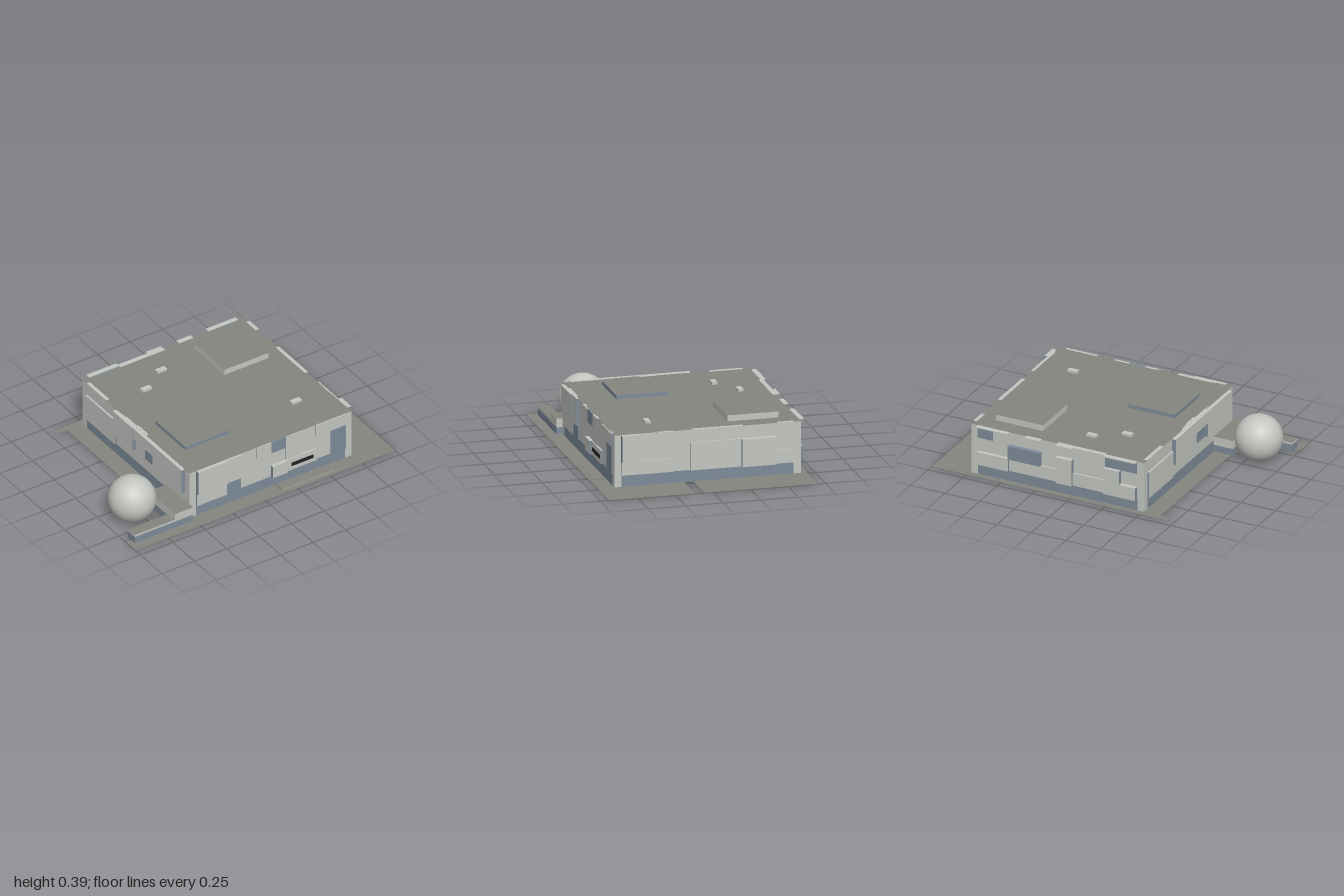
import * as THREE from 'three';

export function createModel() {
  const mat = (name, color, extra = {}) => {
    const m = new THREE.MeshStandardMaterial({ color, ...extra });
    m.name = name;
    return m;
  };
  const light = mat('pale concrete', 0xc4c6c1);
  const blue = mat('blue grey', 0x7d8b99);
  const grey = mat('roof grey', 0x85857f);
  const dark = mat('dark sign', 0x222222);

  const model = new THREE.Group();
  model.name = 'building';

  // Box from its limits; m may be an array in the order +x -x +y -y +z -z
  function box(parent, name, x0, x1, y0, y1, z0, z1, m) {
    const mesh = new THREE.Mesh(new THREE.BoxGeometry(x1 - x0, y1 - y0, z1 - z0), m);
    mesh.position.set((x0 + x1) / 2, (y0 + y1) / 2, (z0 + z1) / 2);
    mesh.name = name;
    parent.add(mesh);
    return mesh;
  }
  const topped = (side, top) => [side, side, top, side, side, side];

  const X0 = -0.51, X1 = 0.737, Z0 = -0.657, Z1 = 0.585, H = 0.35, BASE = 0.08, P = 0.048;

  // Each wall: a list of panels [from, to, bottom, top, depth, colour]
  const walls = [
    {
      name: 'frontWall', pos: [0, 0, Z1], turn: 0, sign: 1, from: X0, to: X1,
      panels: [
        [-0.46, -0.23, 0.17, H, 0.025, light], [-0.46, -0.23, BASE, 0.17, 0.012, light],
        [-0.23, -0.12, 0.17, H, 0.015, light], [-0.23, -0.12, BASE, 0.17, 0.006, blue],
        [0, 0.115, 0.265, H, 0.008, light], [0.115, 0.23, 0.265, H, 0.006, blue],
        [0.115, 0.23, BASE, 0.17, 0.025, light], [0.23, 0.34, 0.17, H, 0.006, light],
        [0.23, 0.46, BASE, 0.17, 0.012, light], [0.46, 0.69, 0.265, H, 0.008, light],
        [0.575, 0.69, BASE, 0.265, 0.006, blue],
      ],
    },
    {
      name: 'rightWall', pos: [X1, 0, 0], turn: Math.PI / 2, sign: -1, from: Z0, to: Z1,
      panels: [
        [0.195, 0.425, 0.265, H, 0.008, light], [0.425, 0.54, 0.17, H, 0.03, light],
        [0.195, 0.54, BASE, 0.17, 0.01, light], [-0.26, 0.08, BASE, 0.265, 0.012, light],
        [-0.49, -0.26, BASE, 0.265, 0.03, light], [-0.605, -0.49, BASE, 0.17, 0.01, light],
      ],
    },
    {
      name: 'backWall', pos: [0, 0, Z0], turn: Math.PI, sign: -1, from: X0, to: X1,
      panels: [
        [0.58, 0.69, 0.265, H, 0.006, blue], [0.46, 0.69, BASE, 0.17, 0.025, light],
        [0.23, 0.46, 0.17, 0.265, 0.03, blue], [0.12, 0.46, BASE, 0.17, 0.01, light],
        [0, 0.115, BASE, 0.265, 0.03, light], [-0.23, 0, BASE, 0.17, 0.012, light],
        [-0.345, -0.23, BASE, 0.265, 0.03, light], [-0.46, -0.23, 0.265, H, 0.006, blue],
        [-0.46, -0.345, BASE, 0.17, 0.03, light],
      ],
    },
    {
      name: 'leftWall', pos: [X0, 0, 0], turn: -Math.PI / 2, sign: 1, from: Z0, to: Z1,
      panels: [
        [-0.61, -0.265, BASE, 0.265, 0.012, light], [-0.265, -0.04, 0.17, H, 0.028, light],
        [-0.04, 0.19, 0.265, H, 0.026, light], [0.08, 0.19, 0.17, 0.265, 0.008, blue],
        [0.19, 0.53, 0.17, H, 0.026, light],
      ],
    },
  ];

  for (const w of walls) {
    const g = new THREE.Group();
    g.name = w.name;
    g.position.set(...w.pos);
    g.rotation.y = w.turn;
    model.add(g);
    const span = (a, b) => (w.sign > 0 ? [a, b] : [-b, -a]);
    const [a, b] = span(w.from + P, w.to - P);
    box(g, 'wallFace', a, b, BASE, H - 0.006, -0.01, 0, light);
    box(g, 'baseBand', a, b, 0, BASE, -0.01, 0, blue);
    for (const [p, q, y0, y1, d, m] of w.panels) {
      const [c, e] = span(p, q);
      // pale panels have blue grey edges
      const faces = m === light ? [blue, blue, light, blue, light, light] : m;
      box(g, 'wallPanel', c, e, y0, y1, -0.012, d, faces);
    }
  }

  // Corner posts
  for (const x of [X0, X1 - P]) {
    for (const z of [Z0, Z1 - P]) box(model, 'cornerPost', x, x + P, 0, H - 0.006, z, z + P, light);
  }

  // Roof, its raised slabs and vents
  box(model, 'roof', X0, X1, H - 0.006, H, Z0, Z1, topped(light, grey));
  box(model, 'roofSlab', -0.39, -0.05, H, 0.375, 0.01, 0.355, topped(blue, grey));
  box(model, 'roofSlab', 0.28, 0.62, H, 0.39, -0.54, -0.2, topped(light, grey));
  for (const [x, z] of [[-0.265, -0.36], [-0.07, -0.48], [0.46, 0.285]]) {
    box(model, 'roofVent', x, x + 0.07, H, 0.366, z, z + 0.036, light);
  }

  // Pale caps along the roof edges
  const caps = [
    [0.72, 0.745, -0.61, -0.5], [0.72, 0.745, -0.27, 0.07],
    [-0.51, -0.485, -0.61, -0.385], [-0.51, -0.49, -0.04, 0.08],
    [-0.46, -0.23, -0.69, -0.655], [-0.23, 0.115, -0.672, -0.64],
    [0, 0.115, -0.69, -0.672], [0.23, 0.34, -0.685, -0.65], [0.46, 0.69, -0.69, -0.657],
  ];
  for (const [x0, x1, z0, z1] of caps) box(model, 'roofEdgeCap', x0, x1, H - 0.004, H + 0.002, z0, z1, light);

  // Plain sign strip and entrance ramp
  box(model, 'signStrip', 0.265, 0.435, 0.112, 0.136, 0.597, 0.602, dark);
  const ramp = new THREE.Shape([[0.59, 0], [0.68, 0], [0.66, 0.01], [0.59, 0.01]].map(([z, y]) => new THREE.Vector2(-z, y)));
  const rampMesh = new THREE.Mesh(new THREE.ExtrudeGeometry(ramp, { depth: 0.395, bevelEnabled: false }), grey);
  rampMesh.name = 'entranceRamp';
  rampMesh.rotation.y = Math.PI / 2;
  rampMesh.position.x = 0.15;
  model.add(rampMesh);

  // Paving around the building
  const paving = [
    [-1, 1, Z1, 0.695], [X1, 1, 0.12, Z1], [X1, 1, Z0, 0.06],
    [-0.71, 1, -0.7, Z0], [-0.63, X0, Z0, 0.32], [-0.65, X0, 0.32, Z1],
  ];
  for (const [x0, x1, z0, z1] of paving) box(model, 'paving', x0, x1, 0, 0.003, z0, z1, grey);

  // Stepped garden wall beside the ball
  box(model, 'lowWallBase', -0.96, X0, 0.003, 0.05, 0.548, 0.625, blue);
  box(model, 'lowWallTop', -0.96, -0.65, 0.05, 0.066, 0.548, 0.625, topped(light, grey));
  box(model, 'highWallBase', -0.65, X0, 0.003, 0.05, 0.32, 0.548, blue);
  box(model, 'highWallTop', -0.65, X0, 0.05, 0.108, 0.32, 0.625, topped(light, grey));

  // Ball with a flat underside
  const R = 0.157, cut = Math.PI * 0.84;
  const ball = new THREE.Group();
  ball.name = 'ball';
  ball.position.set(-0.812, 0.148, 0.37);
  const shell = new THREE.Mesh(new THREE.SphereGeometry(R, 40, 24, 0, Math.PI * 2, 0, cut), light);
  shell.name = 'ballShell';
  const foot = new THREE.Mesh(new THREE.CircleGeometry(R * Math.sin(cut), 40), light);
  foot.name = 'ballFoot';
  foot.rotation.x = Math.PI / 2;
  foot.position.y = R * Math.cos(cut);
  ball.add(shell, foot);
  model.add(ball);

  return model;
}
